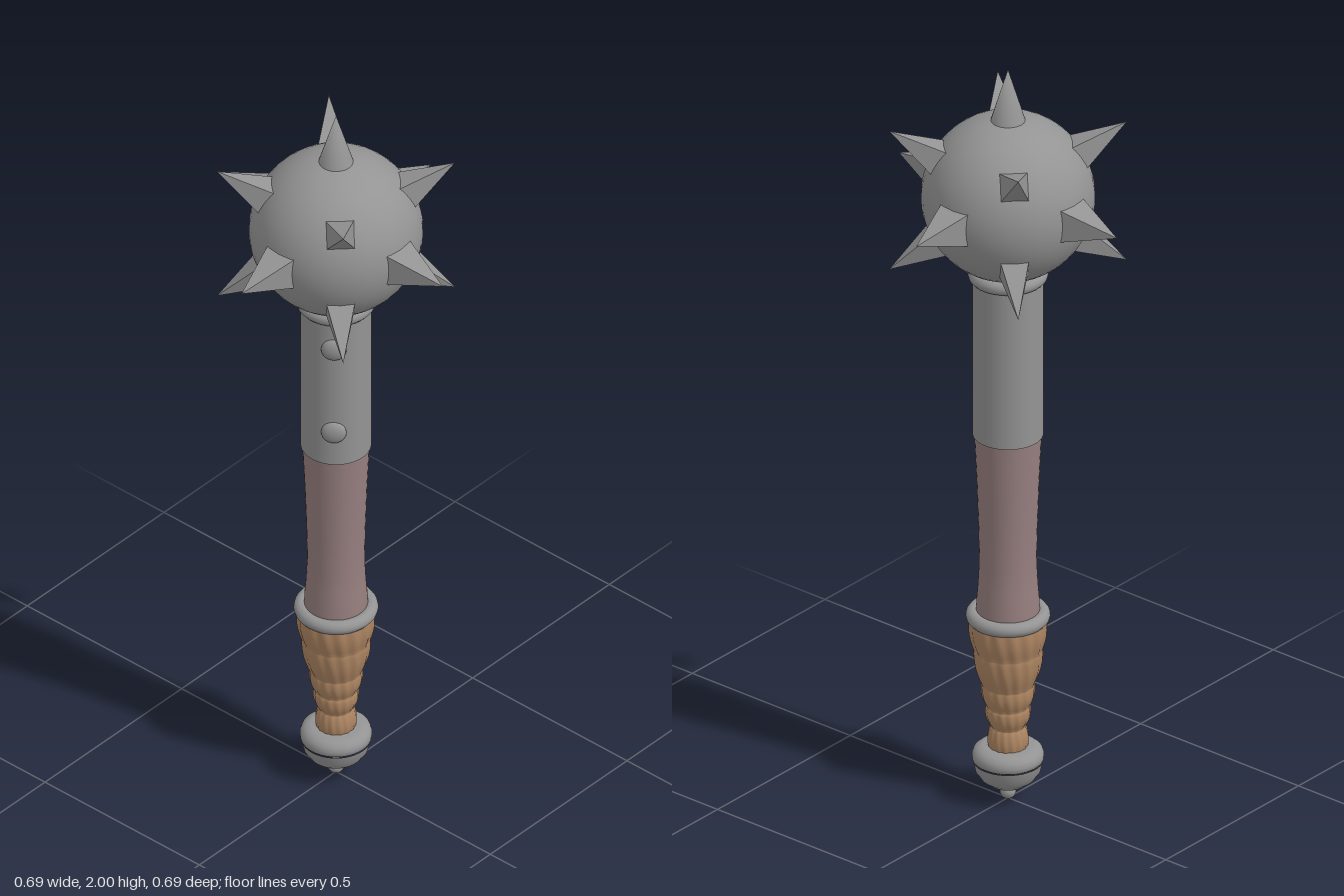
import * as THREE from 'three';
import { mergeVertices } from 'three/addons/utils/BufferGeometryUtils.js';

const steel = new THREE.MeshStandardMaterial({ color: 0x949494 });
const steelFlat = new THREE.MeshStandardMaterial({ color: 0x949494, flatShading: true });
const wood = new THREE.MeshStandardMaterial({ color: 0x977f7f });
const leather = new THREE.MeshStandardMaterial({ color: 0xad8562 });

export function createModel() {
  const model = new THREE.Group();
  model.name = 'spikedMace';

  function add(name, geometry, material, parent = model) {
    const mesh = new THREE.Mesh(geometry, material);
    mesh.name = name;
    parent.add(mesh);
    return mesh;
  }
  const lathe = (points, segments = 40) =>
    new THREE.LatheGeometry(points.map(([r, y]) => new THREE.Vector2(r, y)), segments);

  // Ball head with its spikes
  const head = new THREE.Group();
  head.name = 'head';
  head.position.y = 1.653;
  model.add(head);
  add('ball', new THREE.SphereGeometry(0.212, 40, 28), steel, head);

  const tip = 0.346, base = 0.198;

  // Round top spike with one shared, smooth tip
  let cone = new THREE.ConeGeometry(0.045, tip - base, 24, 1, true);
  cone.deleteAttribute('normal');
  cone.deleteAttribute('uv');
  cone = mergeVertices(cone);
  cone.computeVertexNormals();
  add('topSpike', cone, steel, head).position.y = (tip + base) / 2;

  // Four-sided spike pointing along a direction, with level upper and lower edges
  function spike(name, half, direction) {
    const geometry = new THREE.ConeGeometry(half * Math.SQRT2, tip - base, 4);
    geometry.rotateY(Math.PI / 4);
    geometry.translate(0, (tip + base) / 2, 0);
    geometry.rotateX(Math.PI / 2);
    add(name, geometry, steelFlat, head).quaternion.setFromRotationMatrix(
      new THREE.Matrix4().lookAt(direction, new THREE.Vector3(), THREE.Object3D.DEFAULT_UP));
  }
  for (let i = 0; i < 4; i++) {
    const a = i * Math.PI / 2, b = a + Math.PI / 4;
    spike('sideSpike', 0.044, new THREE.Vector3(Math.sin(a), 0, Math.cos(a)));
    for (const s of [-1, 1]) {
      spike('diagonalSpike', 0.036, new THREE.Vector3(Math.sin(b) * 0.287, s * 0.188, Math.cos(b) * 0.287));
    }
  }

  // Steel sleeve under the head
  add('neck', new THREE.CylinderGeometry(0.083, 0.083, 0.06, 40), steel).position.y = 1.455;
  add('sleeve', new THREE.CylinderGeometry(0.086, 0.086, 0.44, 40), steel).position.y = 1.22;

  // Collar rings above the sleeve and above the grip
  for (const [name, y, radius] of [['upperCollar', 1.44, 0.08], ['lowerCollar', 0.504, 0.085]]) {
    const ring = add(name, new THREE.TorusGeometry(radius, 0.018, 14, 40), steel);
    ring.rotation.x = Math.PI / 2;
    ring.position.y = y;
  }

  // Two flattened rivets on the front corner of the sleeve
  const rivetAngle = 0.66;
  for (const y of [1.35, 1.098]) {
    const rivet = add('rivet', new THREE.SphereGeometry(0.031, 20, 14), steel);
    rivet.scale.z = 0.5;
    rivet.rotation.y = rivetAngle;
    rivet.position.set(Math.sin(rivetAngle) * 0.084, y, Math.cos(rivetAngle) * 0.084);
  }

  // Wooden shaft, waisted towards the grip
  add('shaft', lathe([
    [0.078, 0.5], [0.077, 0.54], [0.073, 0.59], [0.07, 0.65],
    [0.072, 0.75], [0.076, 0.87], [0.082, 1.0],
  ]), wood);

  // Leather grip: tapering bulged tiers with slanted flutes
  const tiers = [
    [0.5, 0.41, 0.095, 0.083], [0.41, 0.315, 0.085, 0.064], [0.315, 0.255, 0.065, 0.052],
    [0.255, 0.2, 0.055, 0.042], [0.2, 0.135, 0.044, 0.046],
  ];
  const profile = [];
  for (const [top, bottom, rTop, rBottom] of tiers) {
    for (let k = 0; k <= 6; k++) {
      const t = k / 6;
      const r = THREE.MathUtils.lerp(rTop, rBottom, t) + 0.006 * Math.sin(Math.PI * t) - 0.001;
      profile.push([r, THREE.MathUtils.lerp(top, bottom, t) - (k === 0 ? 0.001 : 0)]);
    }
  }
  const grip = lathe(profile.reverse(), 96);
  const pos = grip.attributes.position;
  for (let i = 0; i < pos.count; i++) {
    const x = pos.getX(i), y = pos.getY(i), z = pos.getZ(i);
    const f = 1 + 0.018 * Math.cos(16 * Math.atan2(x, z) + 25 * y);
    pos.setXYZ(i, x * f, y, z * f);
  }
  grip.computeVertexNormals();
  add('grip', grip, leather);

  // Pommel: rounded rim, bowl and end bead
  add('pommelRim', lathe([
    [0, 0.104], [0.08, 0.104], [0.087, 0.11], [0.088, 0.122],
    [0.084, 0.134], [0.074, 0.142], [0.06, 0.147], [0, 0.147],
  ]), steel);
  add('pommelBowl', lathe([
    [0, 0.034], [0.025, 0.036], [0.047, 0.044], [0.067, 0.06],
    [0.08, 0.08], [0.086, 0.106],
  ]), steel);
  add('pommelBead', new THREE.SphereGeometry(0.02, 20, 14), steel).position.y = 0.02;

  return model;
}
